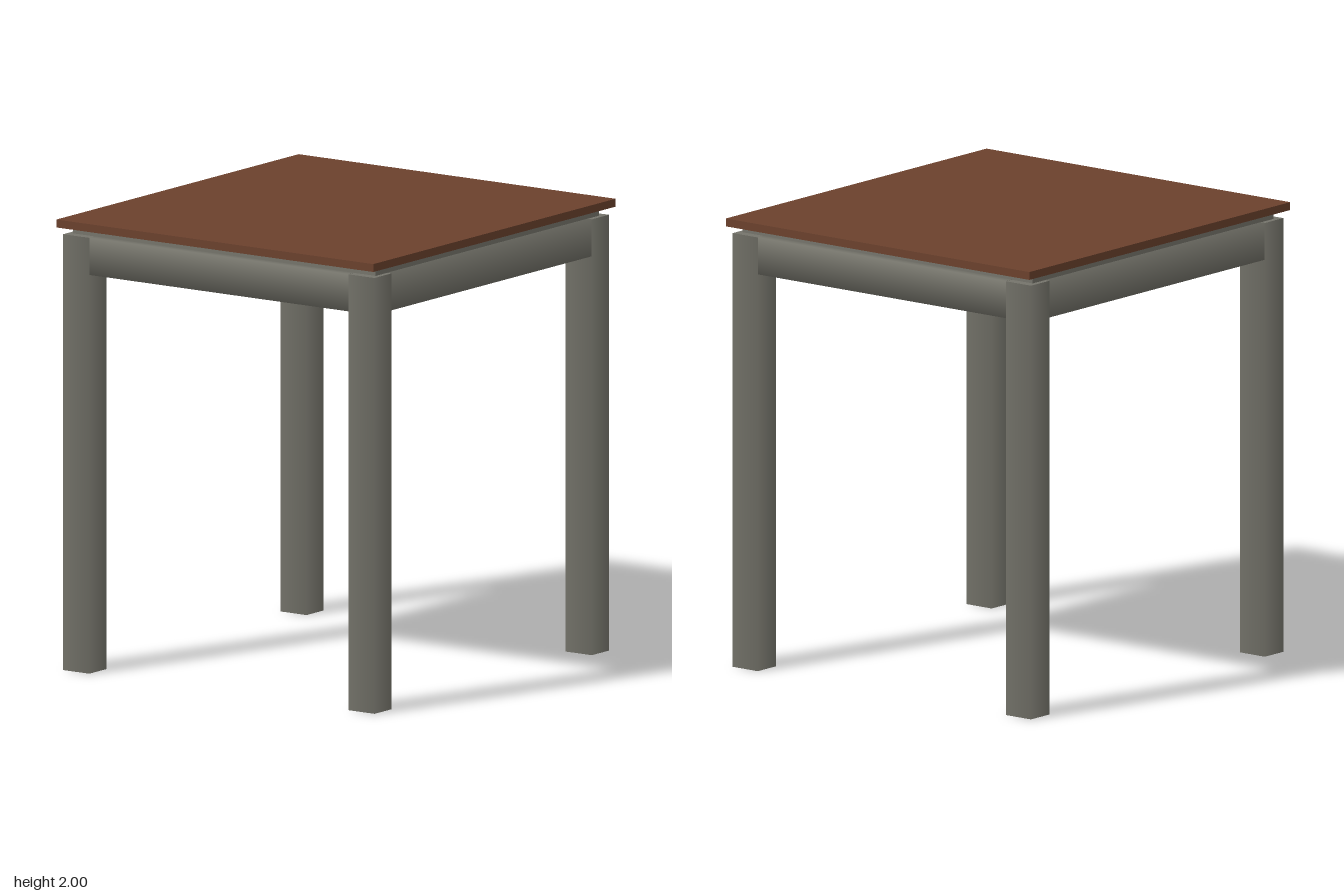
import * as THREE from 'three';

// Four-sided bar of unit size along y: smooth around its sides, flat at its ends
function bar(w, h, d, axis = 'y') {
  const g = new THREE.CylinderGeometry(Math.SQRT1_2, Math.SQRT1_2, 1, 4);
  g.rotateY(Math.PI / 4);
  if (axis === 'x') g.rotateZ(Math.PI / 2);
  if (axis === 'z') g.rotateX(Math.PI / 2);
  return g.scale(w, h, d);
}

export function createModel() {
  const model = new THREE.Group();
  model.name = 'table';
  const wood = new THREE.MeshStandardMaterial({ name: 'brown wood', color: 0x6b412d });
  const metal = new THREE.MeshStandardMaterial({ name: 'grey frame', color: 0x75746b });

  const add = (name, geometry, material, x, y, z) => {
    const mesh = new THREE.Mesh(geometry, material);
    mesh.name = name;
    mesh.position.set(x, y, z);
    model.add(mesh);
  };

  // Top board and the thinner panel beneath it
  add('tabletop', new THREE.BoxGeometry(1.7, 0.035, 1.8), wood, 0, 1.9825, 0);
  add('supportPanel', new THREE.BoxGeometry(1.624, 0.034, 1.66), metal, 0, 1.948, 0);

  // Legs, with a rail between each pair
  const legW = 0.14, legD = 0.127, legX = 0.765, legZ = 0.807, legH = 1.932;
  const railH = 0.165, railT = 0.125, railY = 1.85;
  for (const s of [1, -1]) {
    const end = s > 0 ? 'front' : 'back';
    const side = s > 0 ? 'left' : 'right';
    for (const x of [1, -1]) {
      add(end + (x > 0 ? 'Left' : 'Right') + 'Leg', bar(legW, legH, legD), metal,
        x * legX, legH / 2, s * legZ);
    }
    add(end + 'Rail', bar(2 * legX - legW, railH, railT, 'x'), metal, 0, railY, s * legZ);
    add(side + 'Rail', bar(railT, railH, 2 * legZ - legD, 'z'), metal, s * (legX + 0.005), railY, 0);
  }
  return model;
}
